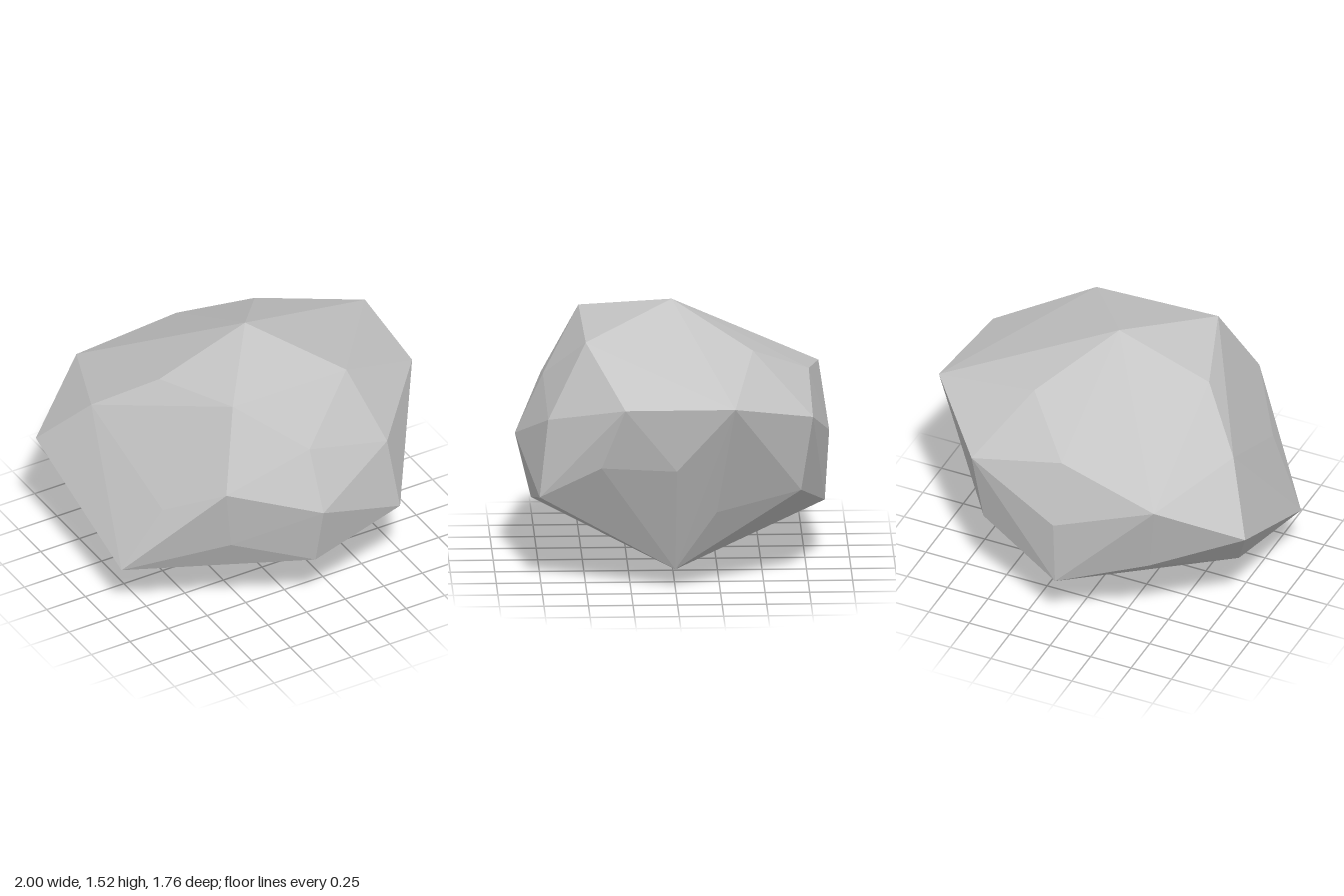
import * as THREE from 'three';
import { ConvexGeometry } from 'three/addons/geometries/ConvexGeometry.js';

// A faceted boulder: the convex hull of a few corner points, listed by height.
export function createModel() {
  const group = new THREE.Group();
  group.name = 'boulder';

  const stone = new THREE.MeshStandardMaterial({ color: 0xc5c5c5, flatShading: true });
  stone.name = 'pale grey stone';

  // crown
  const crown = [
    [0.035, 1.52, 0], [-0.34, 1.39, 0.51], [0.405, 1.37, 0.495],
    [-0.52, 1.33, 0], [0.355, 1.3, -0.445],
  ];
  // shoulder
  const shoulder = [
    [1, 1.13, -0.325], [0.95, 1.115, 0.29], [0.035, 1.11, -0.77],
    [0.035, 1.093, 0.723], [-0.8, 1.08, -0.28],
    [-0.57, 0.995, -0.845], [0.59, 0.975, -0.775],
    [-0.5, 0.96, 0.715], [0.545, 0.96, 0.71],
  ];
  // waist
  const waist = [
    [0.035, 0.75, 0.88], [0.035, 0.75, -0.885], [0.91, 0.75, 0],
    [0.825, 0.75, 0.42], [-1, 0.75, -0.555], [-0.73, 0.75, 0.4],
  ];
  // underside
  const underside = [
    [-0.435, 0.56, 0.655], [0.545, 0.54, -0.71], [-0.49, 0.535, -0.736],
    [0.6, 0.525, 0.76], [0.735, 0.465, -0.23], [-0.837, 0.393, -0.287],
    [0.035, 0.375, 0.79], [-0.945, 0.355, 0.31], [0.035, 0.345, -0.86],
    [0.64, 0.11, 0], [0.035, 0, 0],
  ];

  const points = [...crown, ...shoulder, ...waist, ...underside]
    .map((p) => new THREE.Vector3(...p));
  const rock = new THREE.Mesh(new ConvexGeometry(points), stone);
  rock.name = 'rock';
  group.add(rock);
  return group;
}
